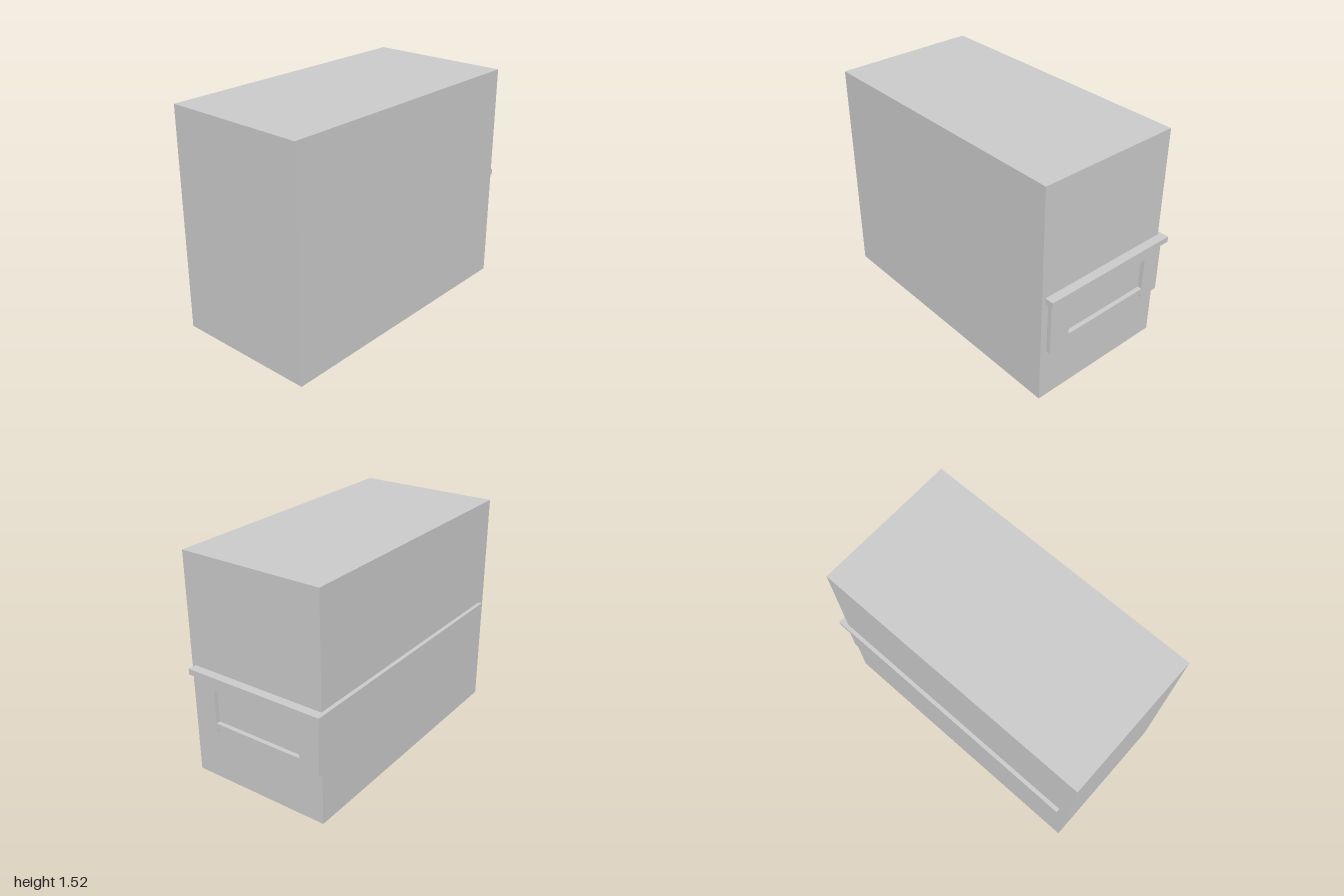
import * as THREE from 'three';

const material = new THREE.MeshStandardMaterial({ color: 0xcccccc, flatShading: true });

// Box given by its lower and upper limits on each axis
function block(name, [x0, x1], [y0, y1], [z0, z1]) {
  const geometry = new THREE.BoxGeometry(x1 - x0, y1 - y0, z1 - z0);
  geometry.translate((x0 + x1) / 2, (y0 + y1) / 2, (z0 + z1) / 2);
  const mesh = new THREE.Mesh(geometry, material);
  mesh.name = name;
  return mesh;
}

export function createModel() {
  const model = new THREE.Group();
  model.name = 'building';

  const left = 0.51, right = -0.487, back = -0.94;
  const ledgeY = [0.732, 0.771];

  // Main volume
  model.add(block('body', [right, left], [0, 1.518], [back, 1]));

  // Ledge wrapping the back and one side
  const ledge = new THREE.Group();
  ledge.name = 'ledge';
  ledge.add(block('backLedge', [-0.514, 0.484], ledgeY, [-1, back]));
  ledge.add(block('sideLedge', [-0.514, right], ledgeY, [back, 0.94]));
  model.add(ledge);

  // Raised surround: two legs and a shorter sill around a window opening
  const outline = [
    [right, 0.359], [-0.343, 0.359], [-0.343, 0.392], [0.312, 0.392],
    [0.312, 0.359], [0.461, 0.359], [0.461, ledgeY[0]], [right, ledgeY[0]],
  ].map(([x, y]) => new THREE.Vector2(x, y));
  const shape = new THREE.Shape(outline);
  const opening = [[-0.343, 0.427], [-0.343, 0.658], [0.312, 0.658], [0.312, 0.427]];
  shape.holes.push(new THREE.Path(opening.map(([x, y]) => new THREE.Vector2(x, y))));
  const surround = new THREE.Mesh(
    new THREE.ExtrudeGeometry(shape, { depth: 0.03, bevelEnabled: false }), material);
  surround.name = 'windowSurround';
  surround.position.z = back - 0.03;
  model.add(surround);

  return model;
}
